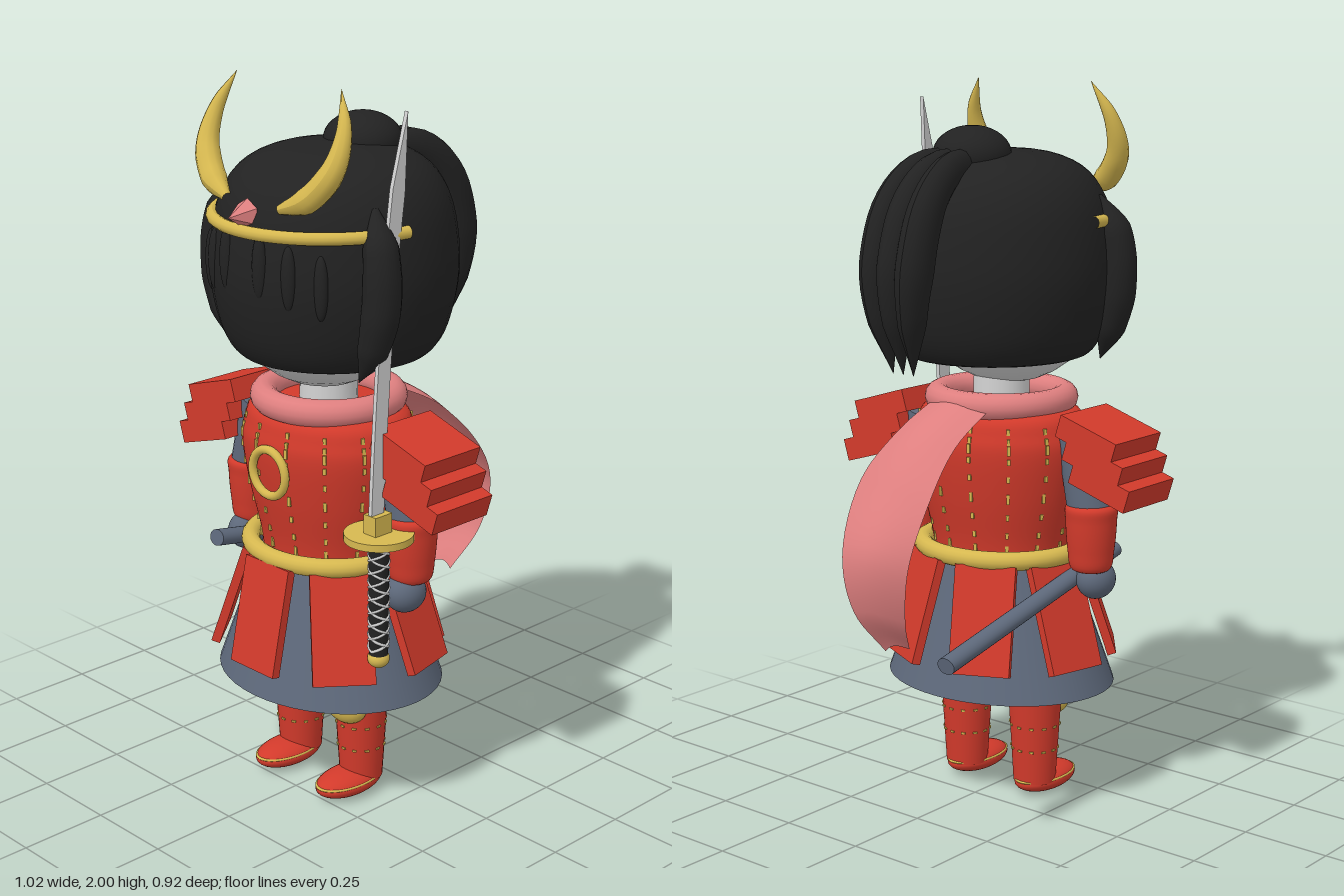
import * as THREE from 'three';
import { mergeGeometries } from 'three/addons/utils/BufferGeometryUtils.js';
import { ParametricGeometry } from 'three/addons/geometries/ParametricGeometry.js';

const mat = (name, color, extra = {}) => Object.assign(new THREE.MeshStandardMaterial({ color, ...extra }), { name });
const V = (x, y, z) => new THREE.Vector3(x, y, z);
const CZ = 0.115; // z of the body axis

export function createModel() {
  const red = mat('armour red', 0xd23a2b);
  const gold = mat('gold', 0xd6b850);
  const slate = mat('slate cloth', 0x5d687a);
  const black = mat('black hair', 0x222222);
  const pink = mat('scarf pink', 0xde7f7f, { side: THREE.DoubleSide });
  const pale = mat('pale grey', 0xd2d2d2);
  const model = new THREE.Group();

  const add = (name, geo, material, x = 0, y = 0, z = 0, parent = model) => {
    const m = new THREE.Mesh(geo, material);
    m.name = name;
    m.position.set(x, y, z);
    parent.add(m);
    return m;
  };
  const ball = (name, material, pos, rad) => {
    const m = add(name, new THREE.SphereGeometry(1, 28, 18), material, ...pos);
    m.scale.set(...rad);
    return m;
  };
  const lathe = (name, pts, material, sx, sz, z = CZ) => {
    const curve = new THREE.SplineCurve(pts.map(p => new THREE.Vector2(...p)));
    const m = add(name, new THREE.LatheGeometry(curve.getPoints(30), 40), material, 0, 0, z);
    m.scale.set(sx, 1, sz);
    return m;
  };
  // tube whose radius follows the values in radii; kx and kz squash it
  const taper = (name, pts, radii, material, kx = 1, kz = 1) => {
    const n = 24, m = 12, curve = new THREE.CatmullRomCurve3(pts.map(p => V(...p)));
    const geo = new THREE.TubeGeometry(curve, n, 1, m);
    const pos = geo.attributes.position, v = V();
    for (let i = 0; i < pos.count; i++) {
      const t = Math.floor(i / (m + 1)) / n, c = curve.getPointAt(t);
      const f = t * (radii.length - 1), k = Math.min(Math.floor(f), radii.length - 2);
      const r = THREE.MathUtils.lerp(radii[k], radii[k + 1], f - k);
      v.fromBufferAttribute(pos, i).sub(c);
      pos.setXYZ(i, c.x + v.x * r * kx, c.y + v.y * r, c.z + v.z * r * kz);
    }
    geo.computeVertexNormals();
    return add(name, geo, material);
  };
  const limb = (name, a, b, ra, rb, material) => {
    const d = b.clone().sub(a);
    const m = add(name, new THREE.CylinderGeometry(rb, ra, d.length(), 24), material);
    m.position.copy(a).add(b).multiplyScalar(0.5);
    m.quaternion.setFromUnitVectors(V(0, 1, 0), d.normalize());
    return m;
  };
  const ring = (name, R, r, material, y, sx, sz, sy = 1, z = CZ) => {
    const m = add(name, new THREE.TorusGeometry(R, r, 14, 48).rotateX(Math.PI / 2), material, 0, y, z);
    m.scale.set(sx, sy, sz);
    return m;
  };

  // head and hair
  ball('head', pale, [0, 1.45, 0.14], [0.28, 0.275, 0.255]);
  limb('neck', V(0, 1.08, CZ), V(0, 1.3, CZ), 0.08, 0.075, pale);
  lathe('hair', [[0.19, 1.27], [0.25, 1.265], [0.295, 1.33], [0.322, 1.45], [0.322, 1.56], [0.298, 1.68],
    [0.24, 1.765], [0.14, 1.81], [0, 1.82]], black, 1, 1.035, 0.09);
  ball('hairBun', black, [0, 1.81, -0.012], [0.106, 0.077, 0.106]);
  for (const x of [-1, 0, 1])
    taper('ponytailStrand', [[x * 0.03, 1.79, -0.06], [x * 0.05, 1.775, -0.17], [x * 0.06, 1.69, -0.265],
      [x * 0.06, 1.5, -0.32], [x * 0.035, 1.25, -0.293]], [0.04, 0.05, 0.06, 0.062, 0.045, 0], black, 0.72, 1);
  for (const s of [-1, 1]) {
    taper('sideLock', [[s * 0.26, 1.7, 0.2], [s * 0.305, 1.6, 0.22], [s * 0.312, 1.46, 0.225], [s * 0.285, 1.34, 0.23],
      [s * 0.245, 1.25, 0.24]], [0.01, 0.045, 0.05, 0.05, 0.04, 0], black, 1, 1.05);
    for (const [a, y] of [[0.2, 1.55], [0.46, 1.53], [0.72, 1.51]])
      ball('fringeStrand', black, [s * Math.sin(a) * 0.315, y, 0.09 + Math.cos(a) * 0.327], [0.022, 0.085, 0.018]);
  }

  // headband, horns and gem
  const bandPts = [];
  for (let i = 0; i <= 16; i++) {
    const a = -1.5 + (3 * i) / 16;
    bandPts.push([Math.sin(a) * 0.305, 1.637, 0.1 + Math.cos(a) * 0.32]);
  }
  taper('headband', bandPts, [0.017, 0.017], gold);
  for (const s of [-1, 1])
    taper('horn', [[s * 0.1, 1.7, 0.375], [s * 0.18, 1.735, 0.35], [s * 0.237, 1.81, 0.32], [s * 0.24, 1.9, 0.285],
      [s * 0.195, 2.0, 0.25]], [0.012, 0.034, 0.034, 0.026, 0.016, 0], gold);
  const gem = new THREE.ConeGeometry(0.042, 0.065, 6).rotateX(Math.PI / 2).toNonIndexed();
  gem.computeVertexNormals();
  add('headGem', gem, pink, 0, 1.675, 0.425);

  // torso with stitched columns
  const torsoPts = [[0.2, 0.69], [0.21, 0.76], [0.24, 0.88], [0.26, 1.0], [0.252, 1.06], [0.215, 1.115], [0.06, 1.13]];
  lathe('chestArmour', torsoPts, red, 1, 0.83);
  const torsoCurve = new THREE.SplineCurve(torsoPts.map(p => new THREE.Vector2(...p)));
  const stitches = [];
  for (let c = 0; c < 14; c++) for (let r = 0; r < 9; r++) {
    const p = torsoCurve.getPoint(0.13 + r * 0.073), a = ((c + 0.5) / 14) * Math.PI * 2;
    stitches.push(new THREE.BoxGeometry(0.009, r % 3 ? 0.016 : 0.026, 0.008).rotateY(a)
      .translate(Math.sin(a) * p.x, p.y, Math.cos(a) * p.x * 0.83));
  }
  add('chestStitches', mergeGeometries(stitches), gold, 0, 0, CZ);
  add('chestRing', new THREE.TorusGeometry(0.064, 0.012, 12, 32), gold, 0, 0.965, 0.335);
  ring('belt', 0.22, 0.026, gold, 0.718, 1.03, 0.95);

  // scarf collar and tail
  ring('scarfCollar', 0.177, 0.038, pink, 1.137, 1, 0.98);
  const edge = pts => new THREE.CatmullRomCurve3(pts.map(p => V(...p)));
  const tailR = edge([[-0.1, 1.15, -0.03], [-0.09, 1.05, -0.19], [-0.1, 0.92, -0.31], [-0.09, 0.76, -0.38],
    [-0.06, 0.6, -0.36], [-0.03, 0.51, -0.31]]);
  const tailL = edge([[0.1, 1.15, -0.03], [0.12, 1.07, -0.18], [0.15, 0.95, -0.3], [0.1, 0.77, -0.43],
    [0.07, 0.62, -0.42], [0.03, 0.5, -0.34]]);
  add('scarfTail', new ParametricGeometry((u, v, out) => {
    out.lerpVectors(tailR.getPoint(v), tailL.getPoint(v), u);
    out.z -= Math.sin(u * Math.PI) * 0.03 * (1 - v * 0.6);
    out.y += Math.sin(u * Math.PI) * 0.015;
  }, 10, 30), pink);

  // skirt and seven hanging plates
  add('skirt', new THREE.CylinderGeometry(0.2, 0.34, 0.37, 48), slate, 0, 0.52, CZ).scale.z = 0.84;
  for (let i = 0; i < 7; i++) {
    const a = (i / 7) * Math.PI * 2, sx = Math.abs(Math.sin(a));
    const p = add('skirtPlate', new THREE.BoxGeometry(0.17, 0.3, 0.025), red,
      Math.sin(a) * 0.275, 0.56, CZ + Math.cos(a) * 0.25);
    p.rotation.set(-0.21 - 0.14 * sx, a, 0, 'YXZ');
  }

  for (const s of [-1, 1]) {
    // arm and stepped shoulder guard
    const side = s > 0 ? 'left' : 'right';
    limb(side + 'UpperArm', V(s * 0.27, 1.06, CZ), V(s * 0.315, 0.85, CZ), 0.06, 0.064, slate);
    lathe(side + 'Forearm', [[0, 0.69], [0.052, 0.695], [0.064, 0.75], [0.07, 0.83], [0.066, 0.875], [0, 0.885]], red, 1, 1)
      .position.x = s * 0.315;
    ball(side + 'Hand', slate, [s * 0.315, 0.66, s > 0 ? 0.135 : 0.14], [0.052, 0.055, 0.06]);
    for (let i = 0; i < 3; i++) {
      const g = add(side + 'ShoulderPlate', new THREE.BoxGeometry(0.19, 0.064, 0.205), red,
        s * (0.365 + i * 0.0225), 1.075 - i * 0.06, CZ + 0.003);
      g.rotation.z = -s * 0.3;
    }
    // leg, shin guard, knee and shoe
    const x = s * 0.125;
    limb(side + 'Thigh', V(x, 0.22, CZ), V(x, 0.36, CZ), 0.062, 0.066, slate);
    limb(side + 'ShinGuard', V(x, 0.04, CZ), V(x, 0.285, CZ), 0.06, 0.075, red);
    ball(side + 'Knee', gold, [x, 0.275, 0.172], [0.07, 0.054, 0.046]);
    ball(side + 'Shoe', red, [x, 0.037, 0.163], [0.066, 0.037, 0.113]);
    ring(side + 'ShoeTrim', 1, 0.05, gold, 0.045, 0.062, 0.108, 0.07, 0.163).position.x = x;
    for (const y of [0.14, 0.21]) {
      const dots = [];
      for (let k = 0; k < 12; k++) {
        const a = (k / 12) * Math.PI * 2, r = 0.0575 + (y - 0.04) * 0.061 + 0.003;
        dots.push(new THREE.BoxGeometry(0.012, 0.005, 0.006).rotateY(a).translate(Math.sin(a) * r, y, Math.cos(a) * r));
      }
      add(side + 'ShinStitches', mergeGeometries(dots), gold, x, 0, CZ);
    }
  }

  // scabbard at the right hip
  limb('scabbard', V(-0.25, 0.7, 0.31), V(-0.282, 0.552, -0.455), 0.027, 0.027, slate).scale.z = 0.85;

  // sword held upright in the left hand
  const sx = 0.308, sz = 0.228;
  const blade = new THREE.Shape();
  blade.moveTo(0.217, 0.87);
  blade.lineTo(0.262, 0.87);
  blade.quadraticCurveTo(0.24, 1.4, 0.188, 1.76);
  blade.lineTo(0.137, 1.945);
  blade.lineTo(0.146, 1.74);
  blade.quadraticCurveTo(0.195, 1.4, 0.217, 0.87);
  add('swordBlade', new THREE.ExtrudeGeometry(blade, { depth: 0.012, bevelEnabled: false, curveSegments: 12 })
    .rotateY(-Math.PI / 2), pale, sx + 0.006);
  add('swordCollar', new THREE.BoxGeometry(0.045, 0.06, 0.06), gold, sx, 0.878, 0.232);
  add('swordGuard', new THREE.CylinderGeometry(0.093, 0.093, 0.02, 32), gold, sx, 0.845, sz);
  add('swordGrip', new THREE.CylinderGeometry(0.028, 0.026, 0.33, 20), black, sx, 0.67, sz);
  ball('swordPommel', gold, [sx, 0.495, sz], [0.03, 0.026, 0.03]);
  for (const dir of [-1, 1]) for (const start of [0, Math.PI]) {
    const pts = [];
    for (let i = 0; i <= 64; i++) {
      const a = start + dir * i * 0.4;
      pts.push(V(Math.sin(a) * 0.0265, 0.52 + i * 0.0048, Math.cos(a) * 0.0265));
    }
    add('gripWrap', new THREE.TubeGeometry(new THREE.CatmullRomCurve3(pts), 128, 0.004, 5), pale, sx, 0, sz);
  }
  return model;
}
